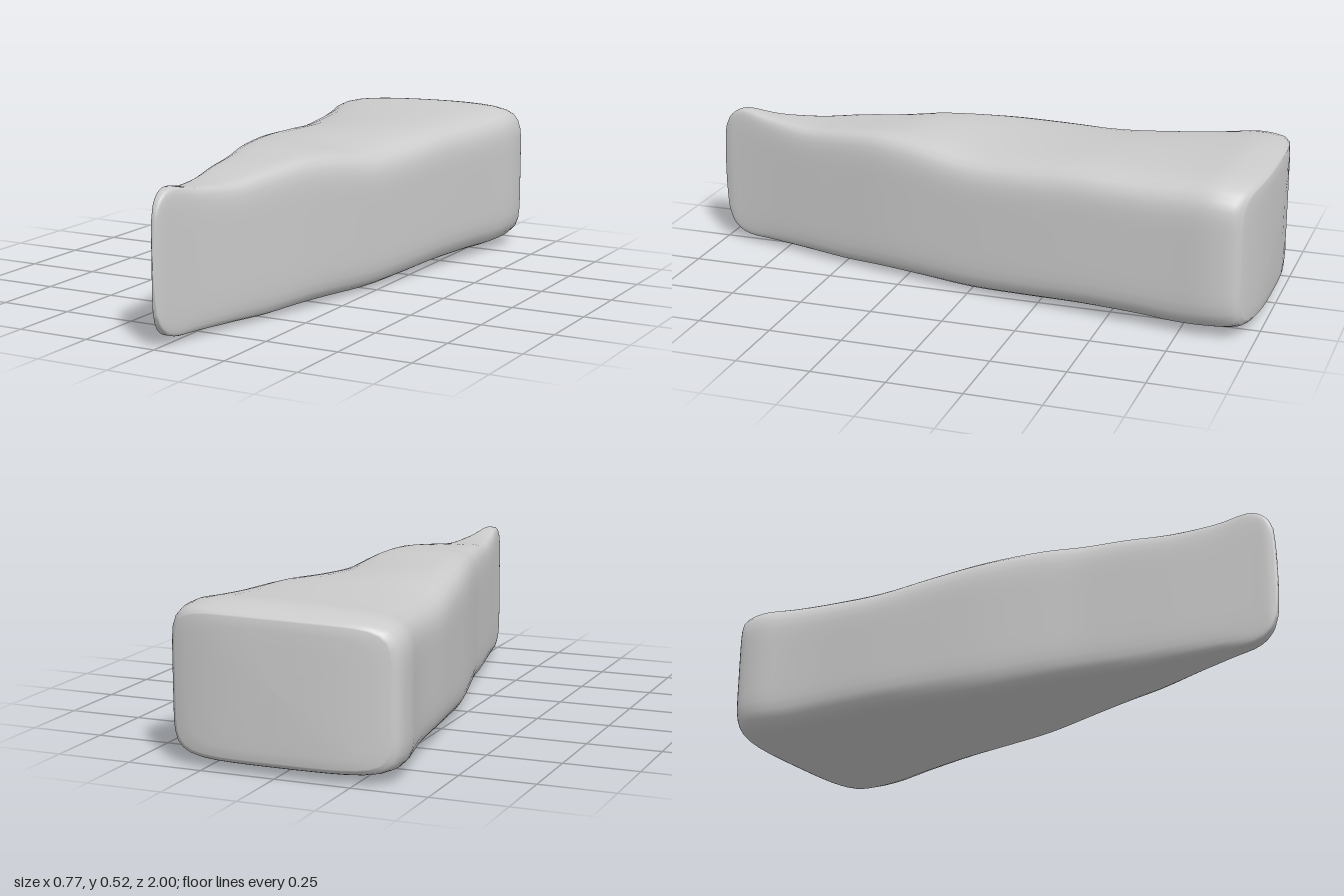
import * as THREE from 'three';

// Cross-sections from back to tip: [z, left x, right x, bottom y, top y at left, middle, right]
const SECTIONS = [
  [-0.99, -0.36, 0.355, 0.05, 0.48, 0.49, 0.49],
  [-0.965, -0.385, 0.38, 0.03, 0.495, 0.505, 0.51],
  [-0.88, -0.385, 0.385, 0.02, 0.5, 0.525, 0.52],
  [-0.75, -0.36, 0.37, 0.015, 0.49, 0.52, 0.51],
  [-0.6, -0.335, 0.35, 0.02, 0.48, 0.515, 0.5],
  [-0.4, -0.31, 0.32, 0.02, 0.47, 0.51, 0.495],
  [-0.2, -0.278, 0.288, 0.012, 0.49, 0.505, 0.475],
  [0, -0.243, 0.252, 0.005, 0.505, 0.505, 0.465],
  [0.2, -0.195, 0.212, 0.012, 0.505, 0.515, 0.49],
  [0.35, -0.155, 0.178, 0.015, 0.495, 0.505, 0.5],
  [0.5, -0.122, 0.138, 0.012, 0.49, 0.49, 0.485],
  [0.65, -0.09, 0.098, 0.018, 0.475, 0.475, 0.465],
  [0.8, -0.055, 0.057, 0.023, 0.475, 0.48, 0.475],
  [0.91, -0.03, 0.03, 0.028, 0.49, 0.495, 0.49],
  [0.965, -0.018, 0.018, 0.06, 0.465, 0.47, 0.465],
  [0.99, -0.009, 0.009, 0.11, 0.42, 0.425, 0.42],
];
const SIDE = 14; // points on each side of a ring

// Rounded square around the section, counter-clockwise, within -1..1
function ringProfile() {
  const points = [];
  for (let s = 0; s < 4; s++) {
    for (let k = 0; k < SIDE; k++) {
      const p = new THREE.Vector2(1, -1 + (2 * k) / SIDE);
      const f = Math.pow(1 + Math.pow(Math.abs(p.y), 7), -1 / 7);
      points.push(p.multiplyScalar(f).rotateAround(new THREE.Vector2(), (s * Math.PI) / 2));
    }
  }
  return points;
}

function wedgeGeometry() {
  const curve = (a, b, c) =>
    new THREE.CatmullRomCurve3(SECTIONS.map((s) => new THREE.Vector3(s[a], s[b], s[c])), false, 'catmullrom', 0.5);
  const outline = curve(0, 1, 2);
  const heights = curve(4, 5, 6);
  const base = curve(3, 3, 3);
  const profile = ringProfile();
  const n = profile.length;
  const positions = [];
  const index = [];

  // One ring at t along the wedge; shrink < 1 closes the ends
  function addRing(t, shrink, dz) {
    const o = outline.getPoint(t);
    const h = heights.getPoint(t);
    const bottom = base.getPoint(t).x;
    const back = THREE.MathUtils.smoothstep(-o.x, 0.6, 0.95);
    for (const p of profile) {
      const u = p.x * shrink;
      const v = p.y * shrink;
      const x = (o.y + o.z) / 2 + (u * (o.z - o.y)) / 2;
      const top = h.y + (u * (h.z - h.x)) / 2 + u * u * ((h.x + h.z) / 2 - h.y);
      const y = bottom + ((v + 1) / 2) * (top - bottom);
      // the back face follows an arc
      const arc = 0.045 * Math.pow(Math.abs(x) / 0.38, 3) * back;
      positions.push(x, y, o.x + dz + arc);
    }
  }

  for (const f of [0, 0.3, 0.6, 0.85]) addRing(0, f, -0.006 + 0.004 * f);
  const steps = 60;
  for (let i = 0; i <= steps; i++) addRing(i / steps, 1, 0);
  for (const f of [0.75, 0.4, 0]) addRing(1, f, 0.01 * (1 - f * f));

  const rings = positions.length / 3 / n;
  for (let i = 0; i < rings - 1; i++) {
    for (let j = 0; j < n; j++) {
      const a = i * n + j;
      const b = i * n + ((j + 1) % n);
      index.push(a, b, a + n, b, b + n, a + n);
    }
  }
  const geometry = new THREE.BufferGeometry();
  geometry.setAttribute('position', new THREE.Float32BufferAttribute(positions, 3));
  geometry.setIndex(index);
  geometry.computeVertexNormals();
  return geometry;
}

export function createModel() {
  const group = new THREE.Group();
  group.name = 'slice';
  const wedge = new THREE.Mesh(wedgeGeometry(), new THREE.MeshStandardMaterial({ color: 0xcccccc }));
  wedge.name = 'wedge';
  group.add(wedge);
  return group;
}
